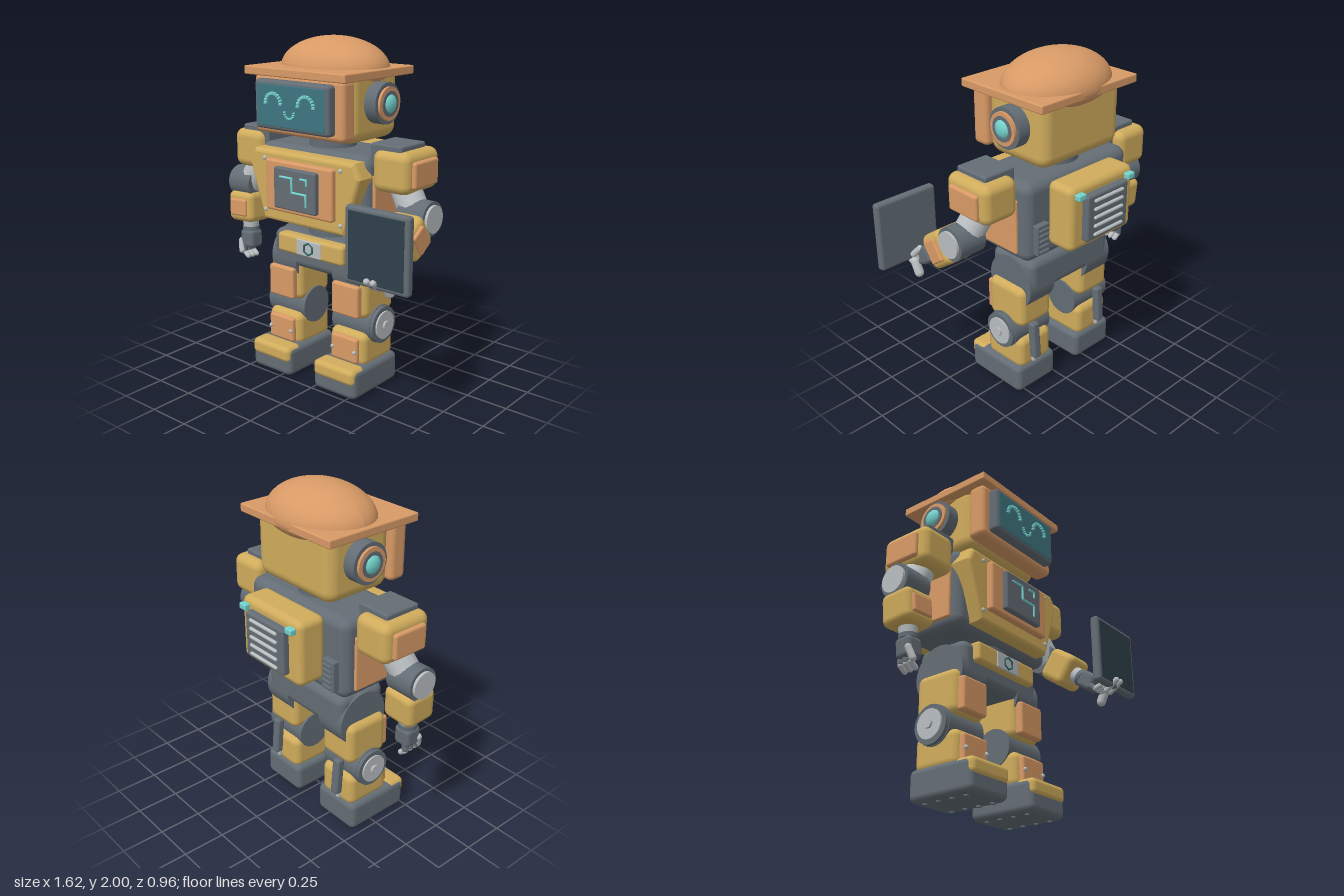
import * as THREE from 'three';
import { RoundedBoxGeometry } from 'three/addons/geometries/RoundedBoxGeometry.js';

const mat = (name, color) => Object.assign(new THREE.MeshStandardMaterial({ color }), { name });

export function createModel() {
  const yellow = mat('mustard shell', 0xd0ac5c);
  const orange = mat('copper panel', 0xd89a66);
  const dark = mat('slate frame', 0x646d75);
  const light = mat('pale metal', 0xb9bec1);
  const teal = mat('glowing teal', 0x74d2cd);
  const screen = mat('visor glass', 0x407682);
  const slate = mat('tablet glass', 0x2e404a);
  const badge = mat('badge green', 0x2f6a68);

  const root = new THREE.Group();
  root.name = 'robot';
  const robot = new THREE.Group();
  robot.name = 'body';
  robot.position.x = -0.08;
  root.add(robot);

  const put = (parent, name, geo, m, x, y, z) => {
    const mesh = new THREE.Mesh(geo, m);
    mesh.name = name;
    mesh.position.set(x, y, z);
    parent.add(mesh);
    return mesh;
  };
  // Rounded box by centre and size
  const box = (p, name, m, x, y, z, w, h, d, r = 0.02) =>
    put(p, name, new RoundedBoxGeometry(w, h, d, 3, Math.min(r, w / 2.01, h / 2.01, d / 2.01)), m, x, y, z);
  // Cylinder along the x, y or z axis
  const cyl = (p, name, m, axis, x, y, z, r, len, r2 = r, seg = 32) => {
    const geo = new THREE.CylinderGeometry(r2, r, len, seg);
    if (axis === 'x') geo.rotateZ(-Math.PI / 2);
    if (axis === 'z') geo.rotateX(Math.PI / 2);
    return put(p, name, geo, m, x, y, z);
  };
  const ball = (p, name, m, x, y, z, r) => put(p, name, new THREE.SphereGeometry(r, 12, 8), m, x, y, z);
  // Round-ended rod between two points
  const rod = (p, name, m, a, b, r) => {
    const A = new THREE.Vector3(...a), B = new THREE.Vector3(...b), d = B.clone().sub(A);
    const mesh = put(p, name, new THREE.CapsuleGeometry(r, d.length(), 6, 16), m, 0, 0, 0);
    mesh.position.copy(A).addScaledVector(d, 0.5);
    mesh.quaternion.setFromUnitVectors(new THREE.Vector3(0, 1, 0), d.normalize());
    return mesh;
  };

  // Head, face frame and visor
  box(robot, 'head', yellow, 0, 1.643, -0.055, 0.6, 0.405, 0.43, 0.07);
  box(robot, 'faceFrame', orange, 0, 1.635, 0.2, 0.64, 0.33, 0.11, 0.03);
  box(robot, 'visorBezel', dark, 0, 1.64, 0.27, 0.53, 0.27, 0.08, 0.02);
  box(robot, 'visorGlass', screen, 0, 1.64, 0.309, 0.485, 0.228, 0.009, 0.004);
  // Smiling face made of beads
  const beads = (name, x, y, r, from, to, n, size) => {
    for (let i = 0; i < n; i++) {
      const a = from + (to - from) * i / (n - 1);
      box(robot, name, teal, x + r * Math.cos(a), y + r * Math.sin(a), 0.318, size, size * 0.8, 0.018, 0.004).rotation.z = a;
    }
  };
  for (const s of [-1, 1]) beads('eye', s * 0.117, 1.652, 0.055, 0, Math.PI, 11, 0.018);
  beads('mouth', 0, 1.612, 0.033, Math.PI, 2 * Math.PI, 9, 0.012);

  // Flat-brimmed domed hat
  box(robot, 'hatBrim', orange, 0, 1.815, -0.014, 0.72, 0.048, 0.61, 0.008);
  const dome = new THREE.SphereGeometry(1, 48, 32);
  const dp = dome.attributes.position;
  for (let i = 0; i < dp.count; i++)
    dp.setXYZ(i, dp.getX(i) * 0.335, dp.getY(i) * (dp.getY(i) > 0 ? 0.18 : 0.12), dp.getZ(i) * 0.26);
  dome.computeVertexNormals();
  put(robot, 'hatDome', dome, orange, 0, 1.82, -0.065);

  // Ears
  for (const s of [-1, 1]) {
    cyl(robot, 'earBase', dark, 'x', s * 0.33, 1.655, -0.06, 0.114, 0.09);
    cyl(robot, 'earRing', orange, 'x', s * 0.36, 1.655, -0.06, 0.092, 0.06);
    cyl(robot, 'earSocket', dark, 'x', s * 0.367, 1.655, -0.06, 0.07, 0.055);
    ball(robot, 'earLight', teal, s * 0.382, 1.655, -0.06, 0.055).scale.x = 0.6;
  }

  // Neck and torso
  cyl(robot, 'neck', dark, 'y', 0, 1.42, -0.05, 0.137, 0.12);
  box(robot, 'torso', dark, 0, 1.155, -0.05, 0.8, 0.47, 0.4, 0.06);
  const plate = new THREE.Shape();
  [[-0.35, 1.345], [0.35, 1.345], [0.38, 1.28], [0.28, 0.975], [-0.28, 0.975], [-0.38, 1.28]]
    .forEach(([x, y], i) => (i ? plate.lineTo(x, y) : plate.moveTo(x, y)));
  put(robot, 'chestPlate', new THREE.ExtrudeGeometry(plate, {
    depth: 0.08, bevelThickness: 0.03, bevelSize: 0.022, bevelSegments: 3,
  }), yellow, 0, 0, 0.115);
  box(robot, 'chestPanel', orange, 0, 1.177, 0.235, 0.49, 0.295, 0.05, 0.015);
  box(robot, 'circuitPanel', dark, 0, 1.177, 0.265, 0.306, 0.235, 0.05, 0.01);
  const trace = (...pts) => pts.slice(1).forEach((q, i) =>
    rod(robot, 'circuitTrace', teal, [...pts[i], 0.291], [...q, 0.291], 0.007));
  trace([-0.1, 1.245], [-0.015, 1.245], [-0.015, 1.165], [0.087, 1.165], [0.087, 1.1]);
  trace([0.05, 1.25], [0.092, 1.25], [0.092, 1.22]);
  for (const s of [-1, 1]) {
    for (const y of [1.015, 1.318]) ball(robot, 'chestBolt', light, s * 0.278, y, 0.225, 0.013);
    box(robot, 'sidePanel', orange, s * 0.4, 1.13, -0.04, 0.03, 0.32, 0.28, 0.01);
    // Rear vents
    box(robot, 'rearVent', dark, s * 0.31, 1.065, -0.265, 0.09, 0.18, 0.04, 0.008);
    for (let i = 0; i < 5; i++)
      box(robot, 'rearVentSlat', dark, s * 0.31, 1 + i * 0.032, -0.288, 0.07, 0.012, 0.016, 0.005);
  }

  // Backpack with grille
  box(robot, 'backpack', yellow, 0, 1.19, -0.33, 0.495, 0.38, 0.18, 0.04);
  box(robot, 'backpackGrille', dark, 0, 1.19, -0.43, 0.32, 0.27, 0.06, 0.015);
  for (let i = 0; i < 5; i++)
    rod(robot, 'grilleSlat', light, [-0.105, 1.09 + i * 0.05, -0.465], [0.105, 1.09 + i * 0.05, -0.465], 0.01);
  for (const s of [-1, 1]) box(robot, 'backpackLight', teal, s * 0.193, 1.332, -0.435, 0.055, 0.035, 0.04, 0.008);

  // Waist, pelvis and belt
  cyl(robot, 'waistFlange', dark, 'y', 0, 0.93, -0.04, 0.15, 0.045);
  cyl(robot, 'waistJoint', light, 'y', 0, 0.9, -0.04, 0.11, 0.08);
  cyl(robot, 'waistBase', dark, 'y', 0, 0.882, -0.04, 0.138, 0.04);
  box(robot, 'pelvis', dark, 0, 0.768, -0.035, 0.64, 0.215, 0.33, 0.05);
  box(robot, 'belt', yellow, 0, 0.813, 0.13, 0.49, 0.115, 0.08, 0.02);
  box(robot, 'buckle', light, 0, 0.812, 0.167, 0.185, 0.095, 0.016, 0.006);
  const hex = put(robot, 'buckleRing', new THREE.TorusGeometry(0.035, 0.006, 6, 6), badge, 0, 0.812, 0.176);
  hex.rotation.z = Math.PI / 6;

  // Legs
  for (const s of [-1, 1]) {
    const leg = new THREE.Group();
    leg.name = s > 0 ? 'leftLeg' : 'rightLeg';
    leg.position.x = s * 0.2425;
    robot.add(leg);
    cyl(leg, 'hip', dark, 'x', s * -0.01, 0.7, -0.035, 0.165, 0.19);
    box(leg, 'thigh', yellow, 0, 0.572, -0.025, 0.245, 0.255, 0.28, 0.045);
    box(leg, 'thighPanel', orange, 0, 0.555, 0.122, 0.19, 0.19, 0.055, 0.015);
    cyl(leg, 'knee', dark, 'x', 0, 0.395, -0.02, 0.112, 0.27);
    cyl(leg, 'kneeDisc', dark, 'x', s * 0.14, 0.395, -0.02, 0.108, 0.035);
    cyl(leg, 'kneeCap', light, 'x', s * 0.155, 0.395, -0.02, 0.082, 0.025);
    cyl(leg, 'kneeBolt', light, 'x', s * 0.168, 0.395, -0.02, 0.028, 0.025, 0.028, 6);
    box(leg, 'shin', yellow, 0, 0.262, -0.015, 0.255, 0.205, 0.29, 0.045);
    box(leg, 'shinPanel', orange, 0, 0.262, 0.13, 0.19, 0.15, 0.05, 0.015);
    for (const t of [-1, 1]) ball(leg, 'shinBolt', light, t * 0.08, 0.258, 0.156, 0.012);
    rod(leg, 'pistonRod', light, [s * 0.03, 0.2, -0.165], [s * 0.03, 0.3, -0.175], 0.014);
    box(leg, 'piston', dark, s * 0.03, 0.345, -0.175, 0.055, 0.23, 0.05, 0.015).rotation.x = 0.08;
    // Foot
    box(leg, 'foot', dark, 0, 0.096, 0.04, 0.305, 0.175, 0.415, 0.035);
    box(leg, 'toeCap', yellow, 0, 0.142, 0.195, 0.294, 0.094, 0.125, 0.03);
    for (const t of [-1, 1]) for (let i = 0; i < 4; i++)
      cyl(leg, 'soleStud', dark, 'y', t * 0.1, 0.006, -0.09 + i * 0.09, 0.013, 0.012, 0.013, 10);
  }

  // Arms: the right hangs down, the left reaches forward
  for (const s of [-1, 1]) {
    const arm = new THREE.Group();
    arm.name = s > 0 ? 'leftArm' : 'rightArm';
    robot.add(arm);
    box(arm, 'shoulderCore', dark, s * 0.475, 1.345, -0.02, 0.205, 0.24, 0.225, 0.012);
    box(arm, 'shoulderShell', yellow, s * 0.5175, 1.322, -0.035, 0.235, 0.228, 0.32, 0.05);
    box(arm, 'shoulderPanel', orange, s * 0.635, 1.315, -0.035, 0.045, 0.145, 0.22, 0.015);
    rod(arm, 'upperArm', light, [s * 0.525, 1.22, -0.025], [s * 0.61, 1.09, 0], 0.085);
    cyl(arm, 'elbow', dark, 'x', s * 0.635, 1.085, 0, 0.095, 0.17);
    cyl(arm, 'elbowCap', light, 'x', s * 0.718, 1.085, 0, 0.076, 0.035);

    const fore = new THREE.Group();
    fore.name = 'forearm';
    fore.position.set(s * 0.632, 1.085, 0);
    if (s > 0) fore.rotation.set(-0.96, Math.PI / 2, 0);
    else fore.rotation.set(-0.05, 0, 0.05);
    arm.add(fore);
    box(fore, 'forearmShell', yellow, 0, -0.148, 0, 0.2, 0.19, 0.2, 0.04);
    box(fore, 'forearmPanel', orange, 0, -0.15, 0.1, 0.135, 0.105, 0.03, 0.012);
    cyl(fore, 'wrist', light, 'y', 0, -0.27, 0, 0.045, 0.07, 0.052);
    cyl(fore, 'wristRing', dark, 'y', 0, -0.295, 0, 0.052, 0.025);
    box(fore, 'palm', dark, 0, -0.36, 0, 0.105, 0.115, 0.105, 0.025);
    for (let i = 0; i < 3; i++) {
      const z = (i - 1) * 0.036;
      rod(fore, 'fingerBase', dark, [0.02 * s, -0.41, z], [0.025 * s, -0.435, z], 0.018);
      rod(fore, 'fingerTip', light, [0.025 * s, -0.445, z], [-0.005 * s, -0.47, z], 0.016);
    }
    rod(fore, 'thumb', light, [-0.045, -0.375, 0.04], [-0.03, -0.435, 0.055], 0.019);
  }

  // Tablet held in the left hand
  box(root, 'tablet', dark, 0.607, 1.015, 0.427, 0.395, 0.41, 0.052, 0.018);
  box(root, 'tabletScreen', slate, 0.607, 1.015, 0.452, 0.345, 0.365, 0.008, 0.003);
  for (const x of [0.56, 0.6]) rod(root, 'gripFinger', light, [x, 0.8, 0.4], [x + 0.005, 0.85, 0.468], 0.017);
  rod(root, 'gripThumb', light, [0.61, 0.82, 0.36], [0.61, 0.76, 0.33], 0.027);
  return root;
}
